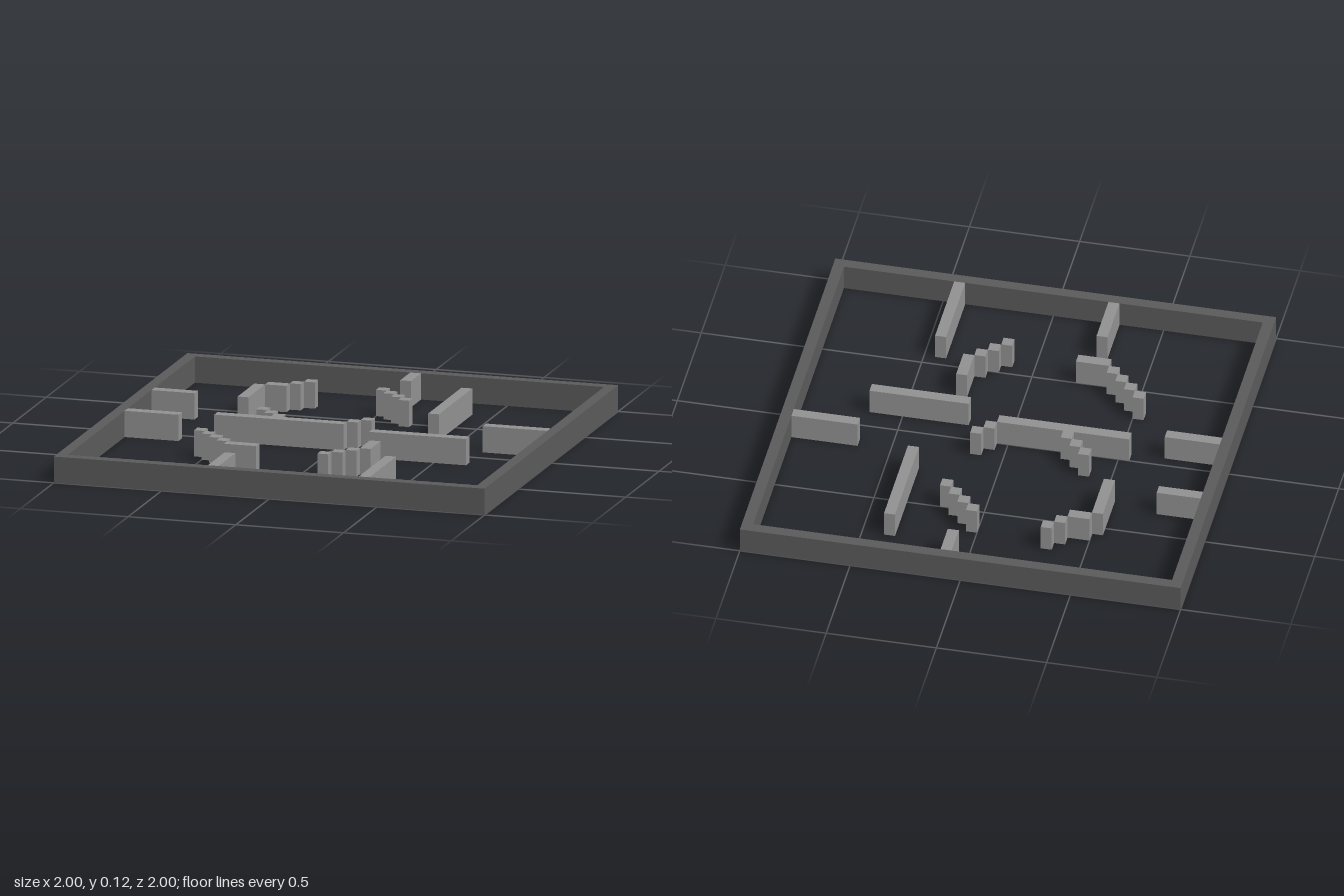
import * as THREE from 'three';

const T = 0.05; // wall thickness, also the size of one grid cell
const H = 0.12; // wall height

export function createModel() {
  const model = new THREE.Group();
  model.name = 'mazeArena';
  const frameMat = new THREE.MeshStandardMaterial({ color: 0x5a5a5a });
  const wallMat = new THREE.MeshStandardMaterial({ color: 0x909090 });

  // Box standing on the ground, from its low x/z corner and its size
  function wall(parent, name, x, z, w = T, d = T) {
    const mesh = new THREE.Mesh(new THREE.BoxGeometry(w, H, d), wallMat);
    mesh.position.set(x + w / 2, H / 2, z + d / 2);
    mesh.name = name;
    parent.add(mesh);
  }

  // Row of single blocks running diagonally; dir is the x step per block
  function staircase(parent, x, z, count, dir) {
    for (let i = 0; i < count; i++) wall(parent, 'stepBlock', x + dir * i * T, z + i * T);
  }

  function group(name) {
    const g = new THREE.Group();
    g.name = name;
    model.add(g);
    return g;
  }

  // Square outer frame
  const square = (s) => [[-s, -s], [s, -s], [s, s], [-s, s]].map(([x, y]) => new THREE.Vector2(x, y));
  const outline = new THREE.Shape(square(1));
  outline.holes.push(new THREE.Path(square(1 - T)));
  const frameGeo = new THREE.ExtrudeGeometry(outline, { depth: H, bevelEnabled: false });
  frameGeo.rotateX(-Math.PI / 2);
  const frame = new THREE.Mesh(frameGeo, frameMat);
  frame.name = 'outerFrame';
  model.add(frame);

  // Stub walls joined to the frame
  const stubs = group('stubWalls');
  wall(stubs, 'backStub', 0.05, -0.95, T, 0.15);
  wall(stubs, 'rightBackStub', -0.95, -0.35, 0.2, T);
  wall(stubs, 'rightFrontStub', -0.95, 0.05, 0.25, T);
  wall(stubs, 'leftStub', 0.65, -0.15, 0.3, T);
  wall(stubs, 'frontShortStub', -0.3, 0.7, T, 0.25);
  wall(stubs, 'frontLongStub', 0.4, 0.55, T, 0.4);

  // Free-standing straight walls
  const straight = group('straightWalls');
  wall(straight, 'backLeftWall', 0.35, -0.75, T, 0.5);
  wall(straight, 'leftCrossWall', 0.2, 0.1, 0.45, T);

  // Centre wall with a stepped arm at each end
  const centre = group('centreWall');
  wall(centre, 'centreBar', -0.55, 0, 0.6, T);
  staircase(centre, -0.4, -0.15, 3, 1);
  staircase(centre, 0.1, -0.1, 2, -1);

  // Stepped curved walls around the centre
  const backRight = group('backRightCurve');
  staircase(backRight, -0.35, -0.7, 2, -1);
  wall(backRight, 'curveBend', -0.5, -0.6, 0.1, T);
  wall(backRight, 'curveLeg', -0.55, -0.55, T, 0.25);

  const backLeft = group('backLeftCurve');
  staircase(backLeft, 0, -0.65, 4, 1);

  const frontRight = group('frontRightCurve');
  staircase(frontRight, -0.55, 0.3, 4, 1);
  wall(frontRight, 'curveFoot', -0.35, 0.5, 0.15, T);

  const frontLeft = group('frontLeftCurve');
  wall(frontLeft, 'curveLeg', 0.25, 0.3, T, 0.15);
  staircase(frontLeft, 0.2, 0.45, 3, -1);

  return model;
}
